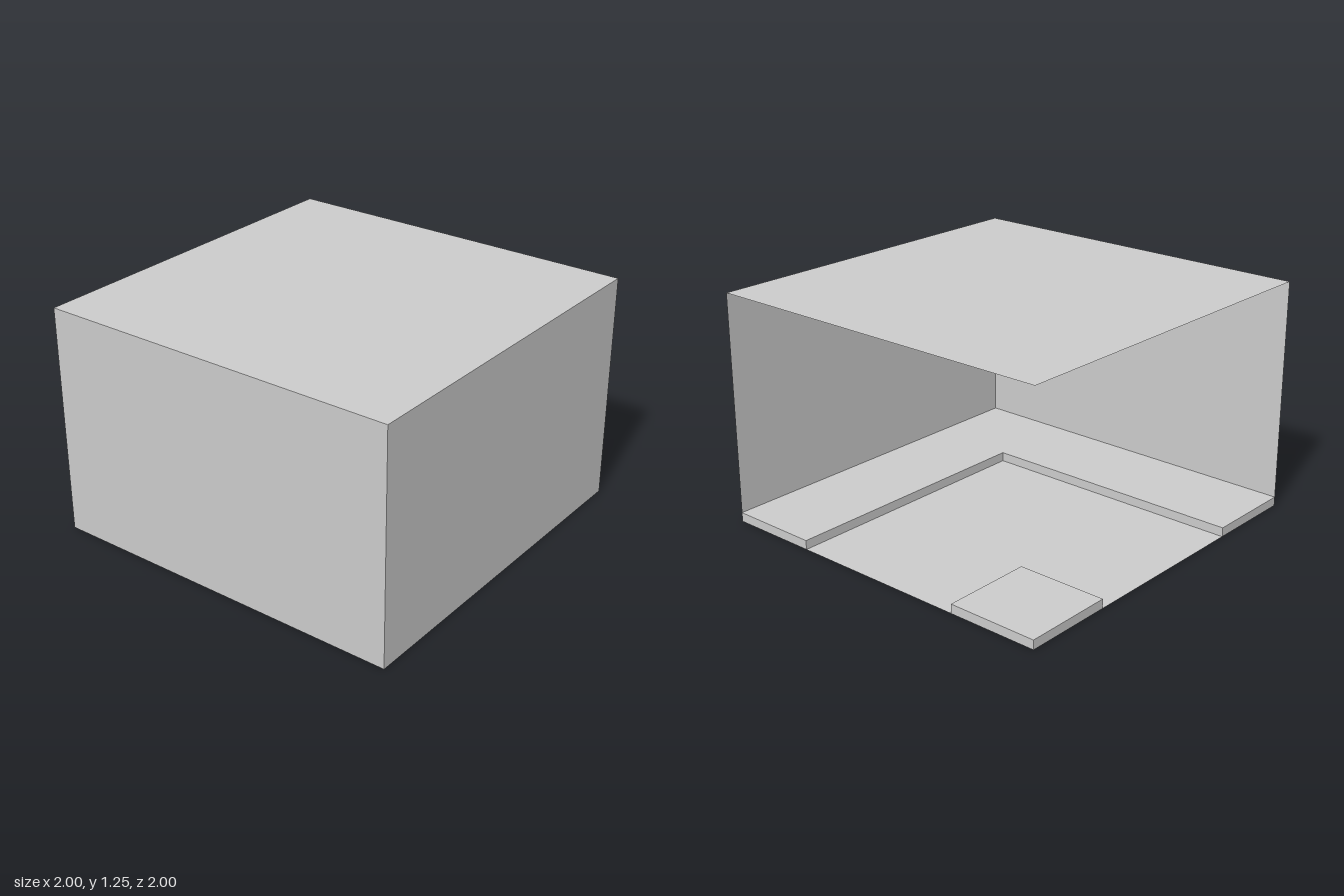
import * as THREE from 'three';

export function createModel() {
  const model = new THREE.Group();
  const lightGrey = new THREE.MeshStandardMaterial({ color: 0xcccccc, side: THREE.DoubleSide });
  lightGrey.name = 'lightGrey';

  const W = 2, H = 1.25, STEP = 0.05;

  // Thin flat sheet, placed and turned
  function sheet(name, w, h, pos, rot) {
    const mesh = new THREE.Mesh(new THREE.PlaneGeometry(w, h), lightGrey);
    mesh.name = name;
    mesh.position.set(...pos);
    mesh.rotation.set(...rot);
    model.add(mesh);
  }

  // Low slab resting on the floor, given by its x and z range
  function slab(name, x0, x1, z0, z1) {
    const mesh = new THREE.Mesh(new THREE.BoxGeometry(x1 - x0, STEP, z1 - z0), lightGrey);
    mesh.name = name;
    mesh.position.set((x0 + x1) / 2, STEP / 2, (z0 + z1) / 2);
    model.add(mesh);
  }

  // Room shell, open at +x and at the back
  sheet('floor', W, W, [0, 0, 0], [Math.PI / 2, 0, 0]);
  sheet('roof', W, W, [0, H, 0], [-Math.PI / 2, 0, 0]);
  sheet('frontWall', W, H, [0, H / 2, 1], [0, 0, 0]);
  sheet('sideWall', W, H, [-1, H / 2, 0], [0, -Math.PI / 2, 0]);

  // Raised L-shaped ledge along the two walls, and a pad in the open corner
  slab('frontLedge', -1, 1, 0.5, 1);
  slab('sideLedge', -1, -0.5, -1, 0.5);
  slab('cornerPad', 0.5, 1, -1, -0.5);

  return model;
}
